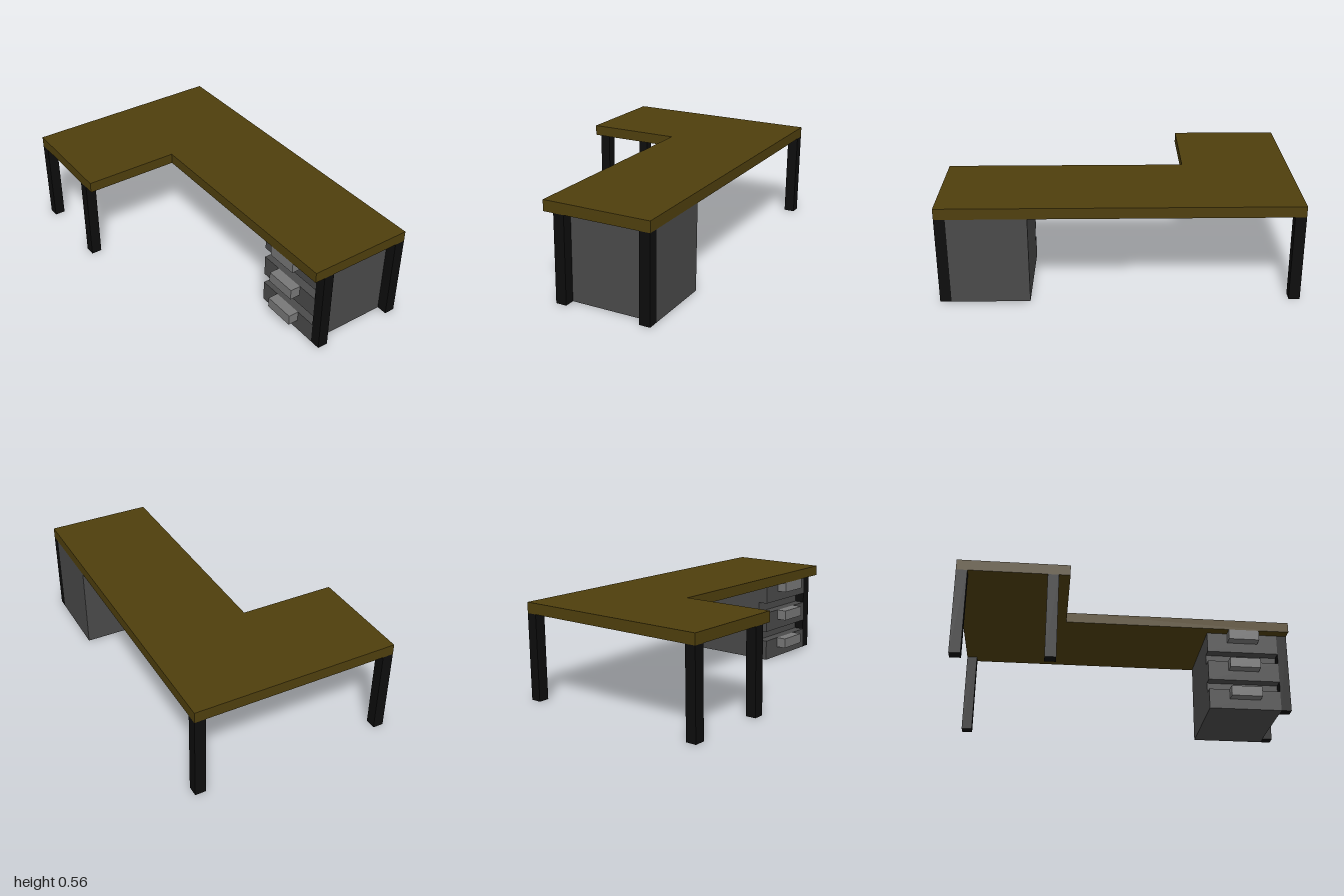
import * as THREE from 'three';

const U = 1 / 16; // base unit of the design
const X0 = -9.5 * U; // outer edge of the short wing
const X1 = 9.5 * U; // outer edge of the long wing

export function createModel() {
  const desk = new THREE.Group();
  desk.name = 'cornerDesk';

  const mat = (name, color) => {
    const m = new THREE.MeshStandardMaterial({ color });
    m.name = name;
    return m;
  };
  const wood = mat('darkWood', 0x4f3f0d);
  const black = mat('blackLeg', 0x0d0d0d);
  const grey = mat('cabinetGrey', 0x4a4a4a);
  const lightGrey = mat('handleGrey', 0x777777);

  // Box given by its lower and upper corners
  const box = (name, material, [ax, ay, az], [bx, by, bz], parent = desk) => {
    const mesh = new THREE.Mesh(new THREE.BoxGeometry(bx - ax, by - ay, bz - az), material);
    mesh.position.set((ax + bx) / 2, (ay + by) / 2, (az + bz) / 2);
    mesh.name = name;
    parent.add(mesh);
  };

  // L-shaped top, drawn in plan (shape y = -z) and laid flat
  const inner = -0.5 * U;
  const plan = new THREE.Shape(
    [[X0, 1], [X0, 6 * U], [inner, 6 * U], [inner, -1], [X1, -1], [X1, 1]]
      .map(([x, y]) => new THREE.Vector2(x, y)));
  const topGeo = new THREE.ExtrudeGeometry(plan, { depth: U, bevelEnabled: false });
  topGeo.rotateX(-Math.PI / 2).translate(0, 8 * U, 0);
  const top = new THREE.Mesh(topGeo, wood);
  top.name = 'desktop';
  desk.add(top);

  // Square legs, placed by their lower x and z
  const legs = [[X0, -1], [X0, -8 * U], [X1 - U, -1], [X1 - U, 1 - U], [0.5 * U, 1 - U]];
  for (const [x, z] of legs) box('leg', black, [x, 0, z], [x + U, 8 * U, z + U]);

  // Cabinet with three raised drawer fronts and their handles
  const cabinet = new THREE.Group();
  cabinet.name = 'drawerCabinet';
  desk.add(cabinet);
  box('cabinetBody', grey, [1.5 * U, 0, 8 * U], [X1, 8 * U, 15 * U], cabinet);
  for (let i = 0; i < 3; i++) {
    const y = 3 * i * U;
    box('drawerFront', grey, [0.5 * U, y, 8 * U], [1.5 * U, y + 2 * U, 15 * U], cabinet);
    box('drawerHandle', lightGrey, [-0.5 * U, y + U, 10 * U], [0.5 * U, y + 2 * U, 13 * U], cabinet);
  }

  return desk;
}
